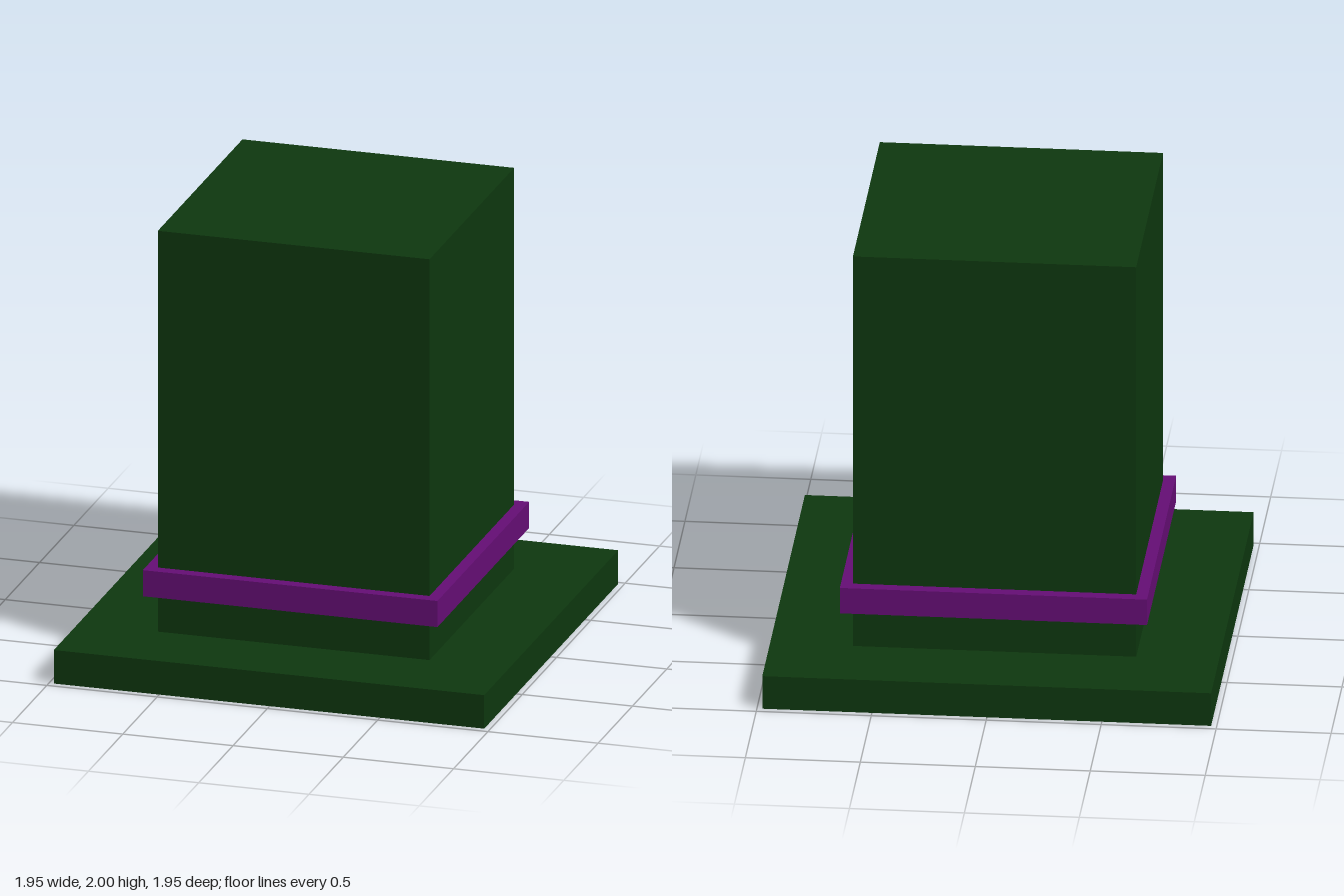
import * as THREE from 'three';

const mat = (name, color) => {
  const m = new THREE.MeshStandardMaterial({ color });
  m.name = name;
  return m;
};

export function createModel() {
  const green = mat('dark green', 0x0e380f);
  const purple = mat('purple', 0x660e76);
  const black = mat('black', 0x0a0a0a);

  const hat = new THREE.Group();
  hat.name = 'topHat';

  // Square slab centred on the y axis, from height y0 to y1
  const slab = (name, half, y0, y1, material) => {
    const mesh = new THREE.Mesh(new THREE.BoxGeometry(half * 2, y1 - y0, half * 2), material);
    mesh.name = name;
    mesh.position.y = (y0 + y1) / 2;
    hat.add(mesh);
  };

  slab('brim', 0.976, 0.003, 0.157, green);
  slab('crown', 0.616, 0.157, 2, green);
  slab('band', 0.668, 0.332, 0.452, purple);
  // Dark head opening, a thin plate on the underside
  slab('headOpening', 0.596, 0, 0.006, black);

  return hat;
}
